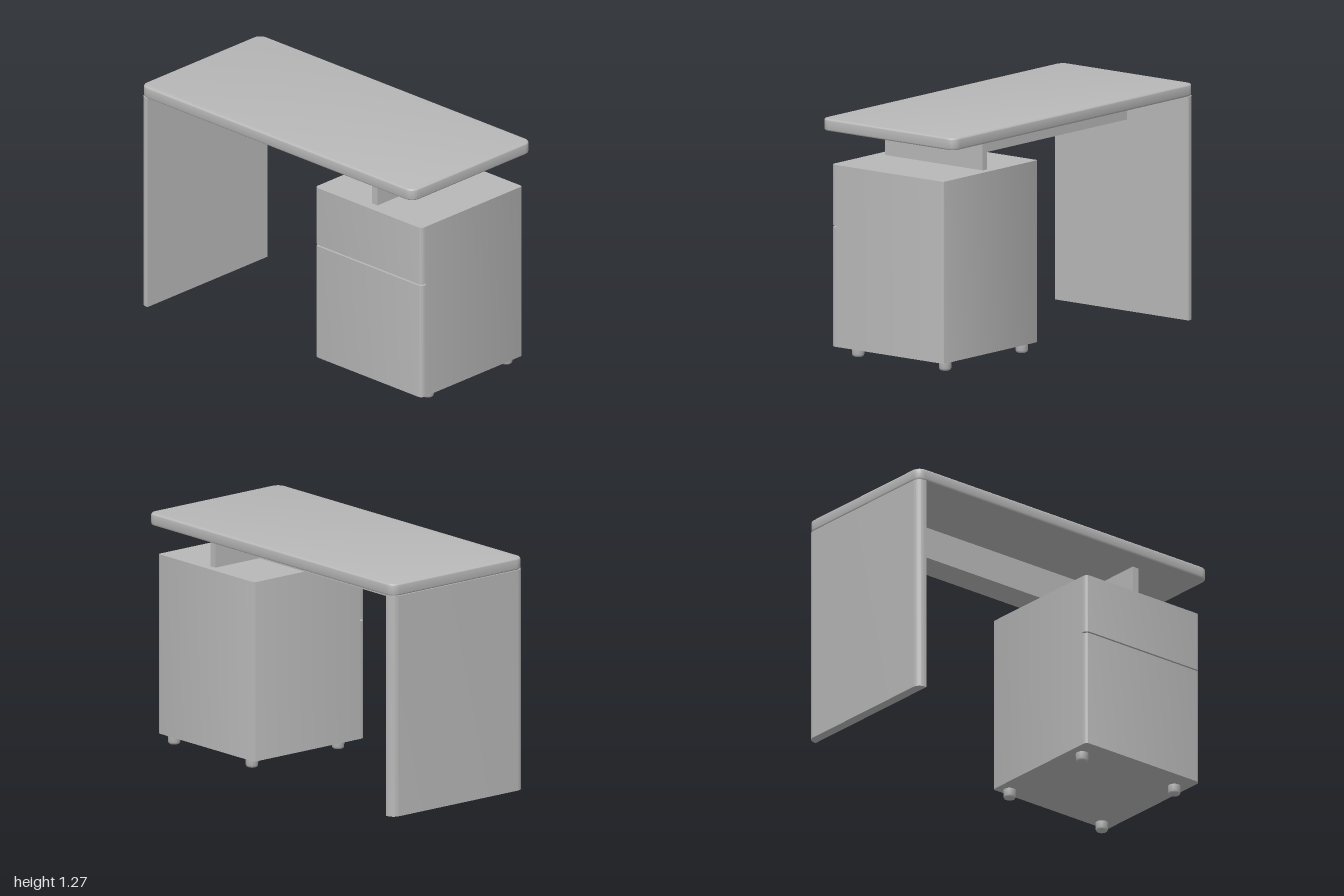
import * as THREE from 'three';
import { toCreasedNormals } from 'three/addons/utils/BufferGeometryUtils.js';

const paint = new THREE.MeshStandardMaterial({ color: 0xb8b8b8 });
paint.name = 'grey paint';

function addMesh(parent, name, geometry, x = 0, y = 0, z = 0) {
  const mesh = new THREE.Mesh(geometry, paint);
  mesh.name = name;
  mesh.position.set(x, y, z);
  parent.add(mesh);
  return mesh;
}

// Upright slab on a plan rectangle; radii: [front left, front right, back right, back left] in plan
function slab(x0, x1, z0, z1, y0, y1, radii, bevel = 0) {
  const s = new THREE.Shape();
  const [a, b, c, d] = radii;
  const p = -z1, q = -z0; // plan y is -z
  const corner = (cx, cy, r, start) => {
    if (r > 0) s.absarc(cx, cy, r, start, start + Math.PI / 2, false);
    else s.lineTo(cx, cy);
  };
  s.moveTo(x0 + a, p);
  corner(x1 - b, p + b, b, -Math.PI / 2);
  corner(x1 - c, q - c, c, 0);
  corner(x0 + d, q - d, d, Math.PI / 2);
  corner(x0 + a, p + a, a, Math.PI);
  const g = new THREE.ExtrudeGeometry(s, {
    depth: y1 - y0 - 2 * bevel, curveSegments: 8, bevelEnabled: bevel > 0,
    bevelThickness: bevel, bevelSize: bevel, bevelOffset: -bevel, bevelSegments: 3,
  });
  g.rotateX(-Math.PI / 2);
  g.translate(0, y0 + bevel, 0);
  return toCreasedNormals(g, 0.6);
}

export function createModel() {
  const desk = new THREE.Group();
  desk.name = 'desk';

  // Worktop and the side panel that carries its far end
  addMesh(desk, 'worktop', slab(-1, 1, -0.457, 0.457, 1.205, 1.27, [0.05, 0.05, 0.05, 0.05], 0.01));
  addMesh(desk, 'sidePanel', slab(-1, -0.945, -0.457, 0.457, 0, 1.205, [0.045, 0, 0, 0.045]));

  // Beam under the top and the cross plate resting on the cabinet
  addMesh(desk, 'beam', new THREE.BoxGeometry(1.53, 0.175, 0.04), -0.18, 1.1175, -0.015);
  addMesh(desk, 'crossPlate', new THREE.BoxGeometry(0.038, 0.175, 0.67), 0.602, 1.1175, -0.005);

  // Drawer cabinet
  const cabinet = new THREE.Group();
  cabinet.name = 'cabinet';
  desk.add(cabinet);
  const x0 = 0.215, x1 = 0.998;
  addMesh(cabinet, 'cabinetBody', slab(x0, x1, -0.383, 0.35, 0.05, 1.03, [0, 0, 0.012, 0.012]));
  addMesh(cabinet, 'lowerDrawerFront', slab(x0, x1, 0.35, 0.386, 0.05, 0.694, [0.025, 0.025, 0, 0]));
  addMesh(cabinet, 'upperDrawerFront', slab(x0, x1, 0.35, 0.386, 0.702, 1.03, [0.025, 0.025, 0, 0]));

  // Feet with a rounded lower rim
  const profile = [[0, 0], [0.022, 0], [0.029, 0.004], [0.033, 0.013], [0.034, 0.052]]
    .map(([r, y]) => new THREE.Vector2(r, y));
  const foot = toCreasedNormals(new THREE.LatheGeometry(profile, 20), 0.9);
  for (const x of [0.29, 0.925])
    for (const z of [0.262, -0.335]) addMesh(cabinet, 'foot', foot, x, 0, z);

  return desk;
}
